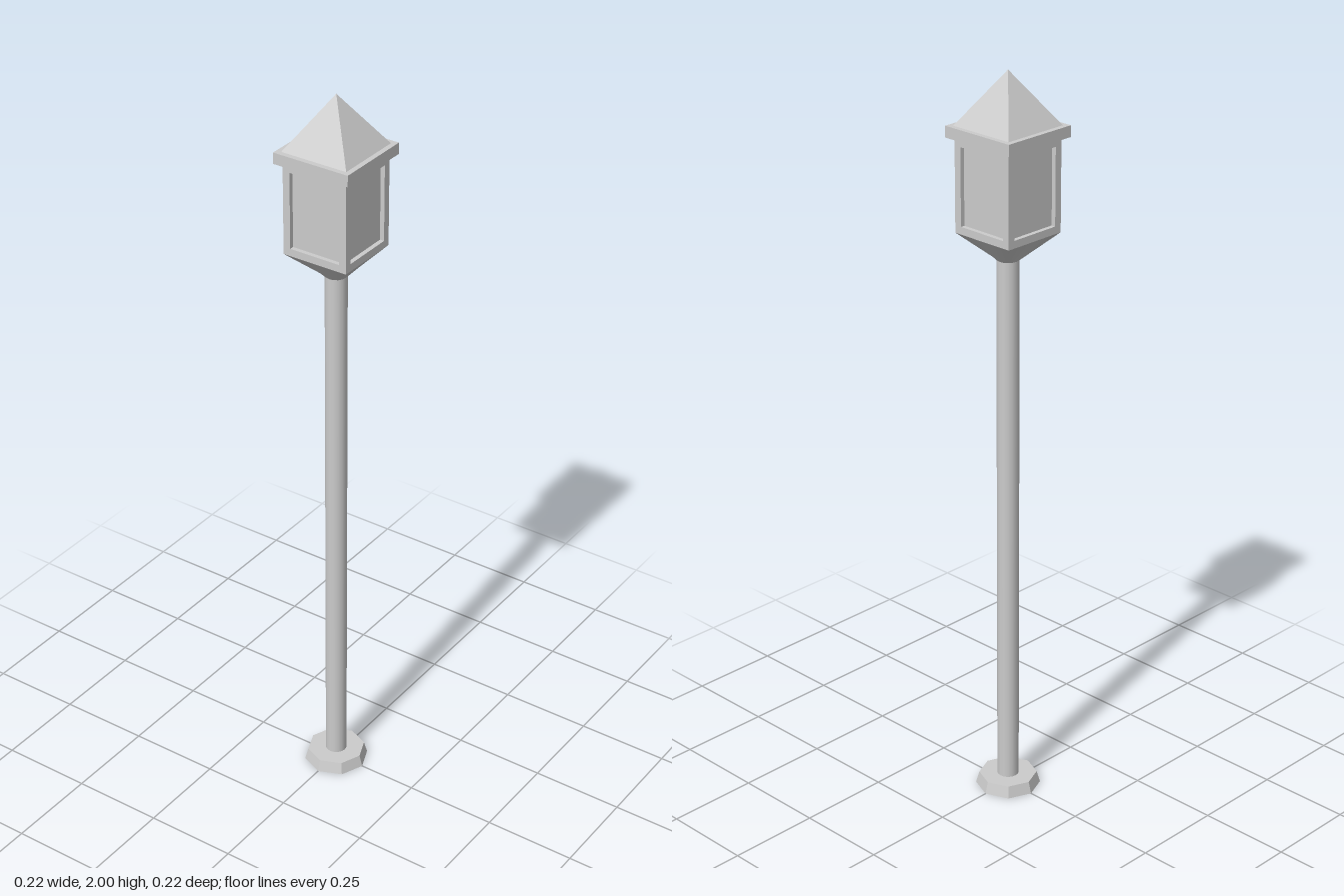
import * as THREE from 'three';

const material = new THREE.MeshStandardMaterial({ color: 0xcccccc });
const flat = new THREE.MeshStandardMaterial({ color: 0xcccccc, flatShading: true });
const flatOpen = new THREE.MeshStandardMaterial({ color: 0xcccccc, flatShading: true, side: THREE.DoubleSide });

const HALF = 0.092;      // lantern half width
const BODY_LOW = 1.585;
const BODY_HIGH = 1.83;
const POLE_RADIUS = 0.029;

function part(name, geometry, mat, y = 0) {
  const mesh = new THREE.Mesh(geometry, mat);
  mesh.name = name;
  mesh.position.y = y;
  return mesh;
}

// Square at the top, round where it meets the pole
function funnelGeometry(height) {
  const geometry = new THREE.CylinderGeometry(HALF, POLE_RADIUS, height, 16, 1, true);
  const p = geometry.attributes.position;
  for (let i = 0; i < p.count; i++) {
    if (p.getY(i) < 0) continue;
    const k = HALF / Math.max(Math.abs(p.getX(i)), Math.abs(p.getZ(i)));
    p.setX(i, p.getX(i) * k);
    p.setZ(i, p.getZ(i) * k);
  }
  geometry.computeVertexNormals();
  return geometry;
}

// One lantern side: a frame around a recessed pane
function frameGeometry(depth) {
  const w = HALF, lowY = 1.605, highY = 1.81, o = 0.072;
  const shape = new THREE.Shape([
    new THREE.Vector2(-w, BODY_LOW), new THREE.Vector2(w, BODY_LOW),
    new THREE.Vector2(w, BODY_HIGH), new THREE.Vector2(-w, BODY_HIGH),
  ]);
  shape.holes.push(new THREE.Path([
    new THREE.Vector2(-o, lowY), new THREE.Vector2(-o, highY),
    new THREE.Vector2(o, highY), new THREE.Vector2(o, lowY),
  ]));
  const geometry = new THREE.ExtrudeGeometry(shape, { depth, bevelEnabled: false });
  // Mitre the frame so neighbouring sides meet at the corners
  const p = geometry.attributes.position;
  for (let i = 0; i < p.count; i++) {
    if (Math.abs(p.getX(i)) > o + 0.001 && p.getZ(i) < depth / 2) {
      p.setX(i, Math.sign(p.getX(i)) * (w - depth));
    }
  }
  geometry.translate(0, 0, HALF - depth);
  return geometry;
}

export function createModel() {
  const model = new THREE.Group();
  model.name = 'lampPost';

  // Eight-sided foot, hollow underneath
  const foot = [[POLE_RADIUS - 0.001, 0.032], [0.078, 0.032], [0.087, 0]]
    .map(([r, y]) => new THREE.Vector2(r, y)).reverse();
  model.add(part('foot', new THREE.LatheGeometry(foot, 8), flatOpen));

  // Pole
  const poleLow = 0.03, poleHigh = 1.52;
  model.add(part('pole', new THREE.CylinderGeometry(POLE_RADIUS, POLE_RADIUS, poleHigh - poleLow, 16),
    material, (poleLow + poleHigh) / 2));

  // Funnel under the lantern
  const funnelHeight = BODY_LOW - 1.515;
  model.add(part('funnel', funnelGeometry(funnelHeight), material, BODY_LOW - funnelHeight / 2));

  // Lantern: four frames around a core whose sides are the panes
  const lantern = new THREE.Group();
  lantern.name = 'lantern';
  const depth = 0.012, core = 2 * (HALF - depth);
  lantern.add(part('panes', new THREE.BoxGeometry(core, BODY_HIGH - BODY_LOW, core), material,
    (BODY_LOW + BODY_HIGH) / 2));
  const frame = frameGeometry(depth);
  for (let i = 0; i < 4; i++) {
    const side = part('paneFrame', frame, flat);
    side.rotation.y = i * Math.PI / 2;
    lantern.add(side);
  }
  model.add(lantern);

  // Eave slab and pyramid roof
  model.add(part('eave', new THREE.BoxGeometry(0.216, 0.03, 0.216), material, 1.845));
  const roof = new THREE.ConeGeometry(0.094 * Math.SQRT2, 0.14, 4, 1, true);
  roof.rotateY(Math.PI / 4);
  model.add(part('roof', roof, flat, 1.93));

  return model;
}
